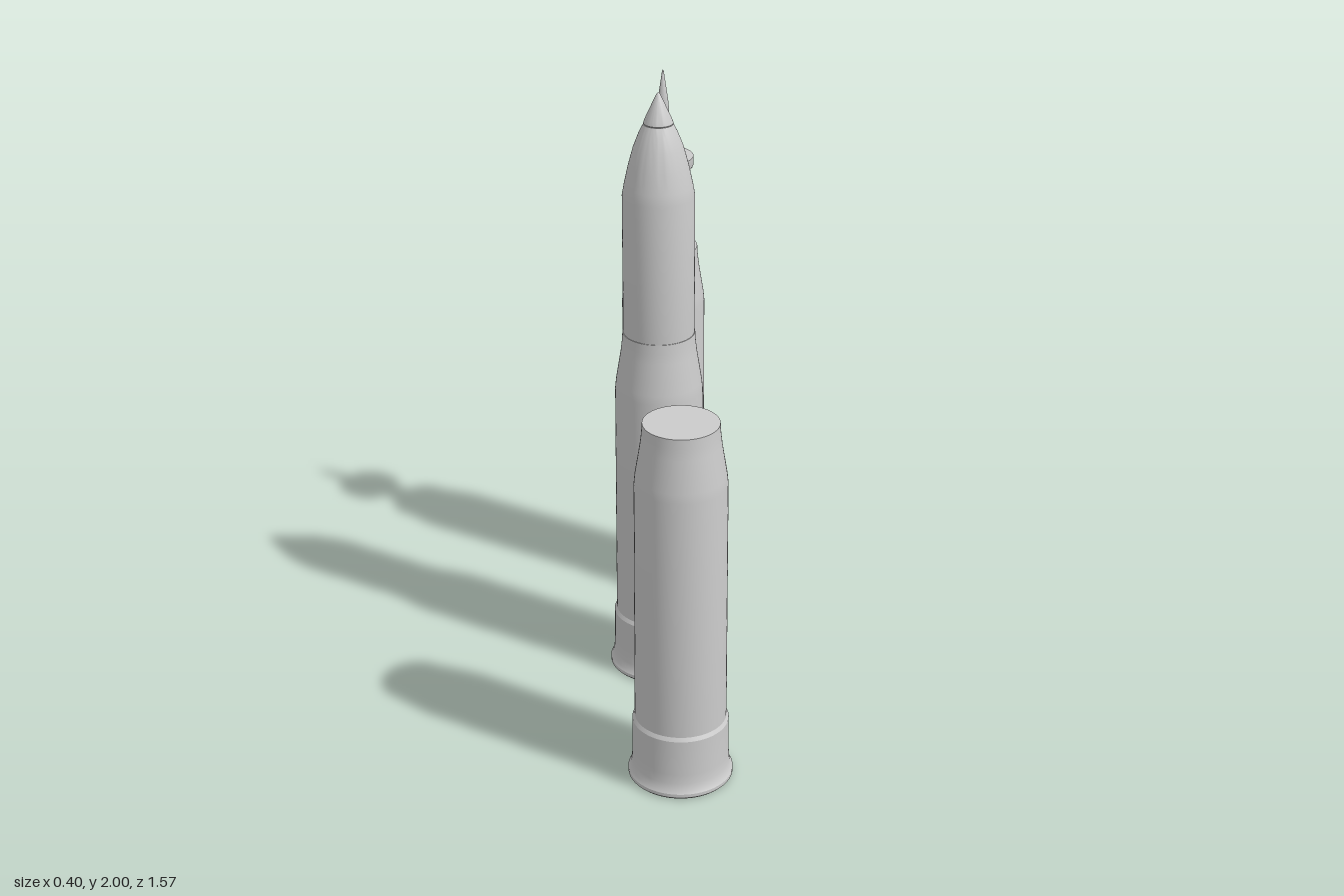
import * as THREE from 'three';
import { toCreasedNormals } from 'three/addons/utils/BufferGeometryUtils.js';

const material = new THREE.MeshStandardMaterial({ color: 0xcccccc });

// Turned part from [radius, height] pairs, listed from bottom to top
function turned(name, profile) {
  const points = profile.map(([r, y]) => new THREE.Vector2(r, y));
  const geometry = toCreasedNormals(new THREE.LatheGeometry(points, 64), 0.45);
  const mesh = new THREE.Mesh(geometry, material);
  mesh.name = name;
  return mesh;
}

// Cartridge case: recessed base, rim, raised band, body, shoulder, closed neck
function cartridgeCase() {
  return turned('cartridgeCase', [
    [0, 0.035], [0.065, 0.035], [0.085, 0.025], [0.11, 0],
    [0.157, 0], [0.163, 0.006], [0.163, 0.018], [0.157, 0.028], [0.152, 0.05],
    [0.15, 0.08], [0.149, 0.2], [0.142, 0.212],
    [0.14, 1.015], [0.137, 1.045], [0.121, 1.145], [0.117, 1.18], [0.115, 1.212],
    [0, 1.212],
  ]);
}

function shell(name, x, y, z, ...parts) {
  const group = new THREE.Group();
  group.name = name;
  group.position.set(x, y, z);
  group.add(cartridgeCase(), ...parts);
  return group;
}

export function createModel() {
  const model = new THREE.Group();
  model.name = 'shellSet';

  // Pointed projectile with a separate fuze tip
  const projectile = turned('projectile', [
    [0.113, 1.205], [0.113, 1.67], [0.107, 1.705], [0.094, 1.765],
    [0.078, 1.825], [0.06, 1.872], [0.046, 1.9], [0, 1.9],
  ]);
  const fuze = turned('fuzeTip', [
    [0, 1.895], [0.042, 1.895], [0.046, 1.903], [0.042, 1.915],
    [0.006, 1.994], [0, 2],
  ]);

  // Waisted stem with a flared collar and thin spike
  const stem = turned('stem', [
    [0.062, 1.205], [0.06, 1.222], [0.055, 1.238], [0.053, 1.27],
    [0.046, 1.41], [0.046, 1.43], [0.052, 1.448], [0.099, 1.497],
    [0.101, 1.502], [0.101, 1.532], [0, 1.532],
  ]);
  const spike = turned('spike', [
    [0.022, 1.53], [0.019, 1.71], [0.015, 1.74], [0.003, 1.822], [0, 1.828],
  ]);

  model.add(
    shell('emptyShell', -0.037, 0, 0.62),
    shell('pointedShell', -0.037, 0, -0.038, projectile, fuze),
    shell('spikedShell', 0.036, 0.053, -0.622, stem, spike),
  );
  return model;
}
